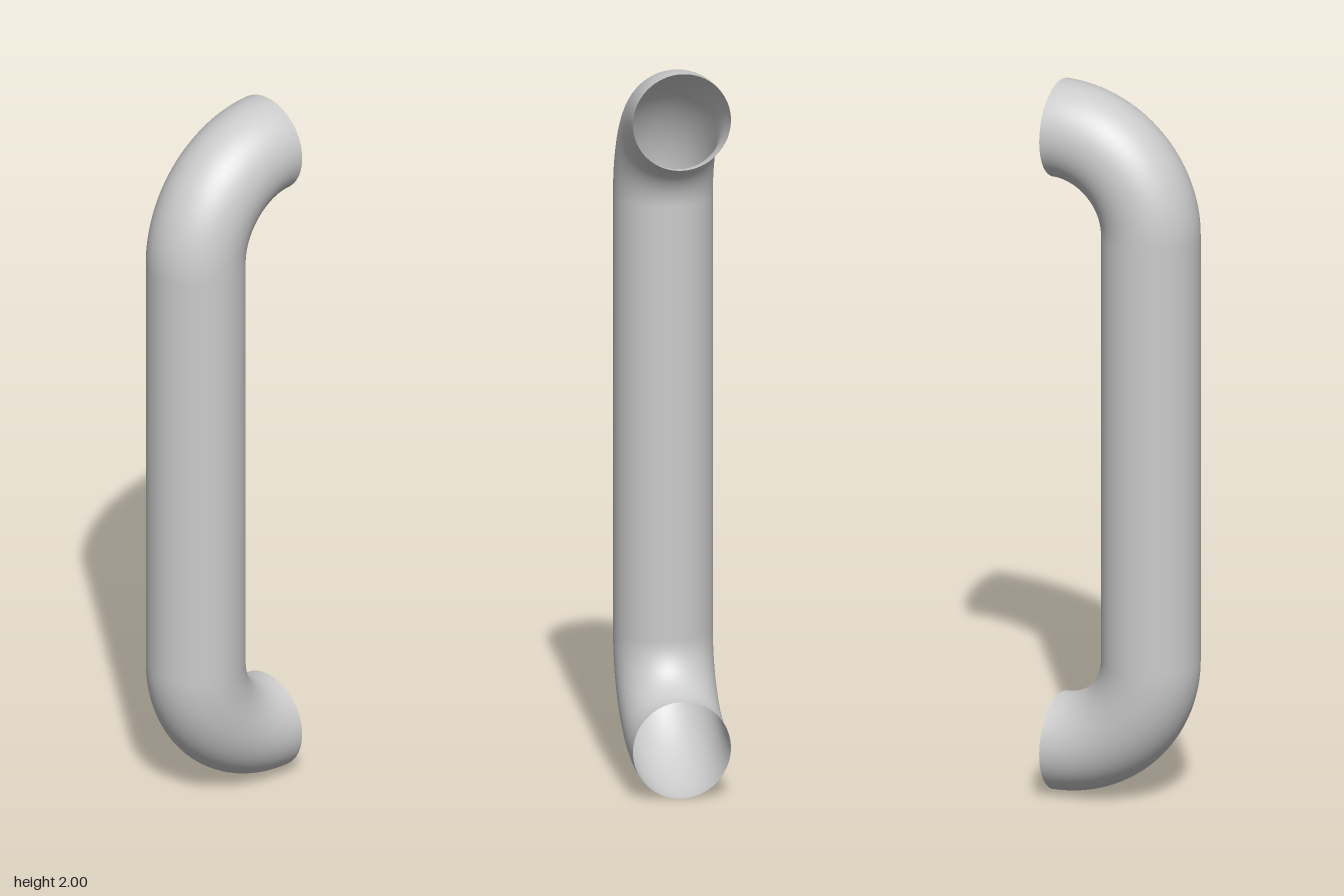
import * as THREE from 'three';

const TUBE = 0.1333;   // pipe radius
const BEND = 0.2667;   // centreline radius of the elbows
const BACK = -0.2;     // plane of the open ends
const SIDES = 64;

export function createModel() {
  const group = new THREE.Group();
  group.name = 'pullHandle';
  const material = new THREE.MeshStandardMaterial({ color: 0xcccccc, side: THREE.DoubleSide });

  // straight upright grip
  const low = TUBE + BEND, high = 2 - low;
  const grip = new THREE.Mesh(
    new THREE.CylinderGeometry(TUBE, TUBE, high - low, SIDES, 1, true), material);
  grip.name = 'grip';
  grip.position.set(0, 1, BACK + BEND);
  group.add(grip);

  // quarter-turn elbows, hollow and open at the back
  const addElbow = (name, y, startAngle) => {
    const geometry = new THREE.TorusGeometry(BEND, TUBE, SIDES, 32, Math.PI / 2);
    geometry.rotateZ(startAngle).rotateY(-Math.PI / 2);
    const elbow = new THREE.Mesh(geometry, material);
    elbow.name = name;
    elbow.position.set(0, y, BACK);
    group.add(elbow);
  };
  addElbow('upperElbow', high, 0);
  addElbow('lowerElbow', low, -Math.PI / 2);

  return group;
}
